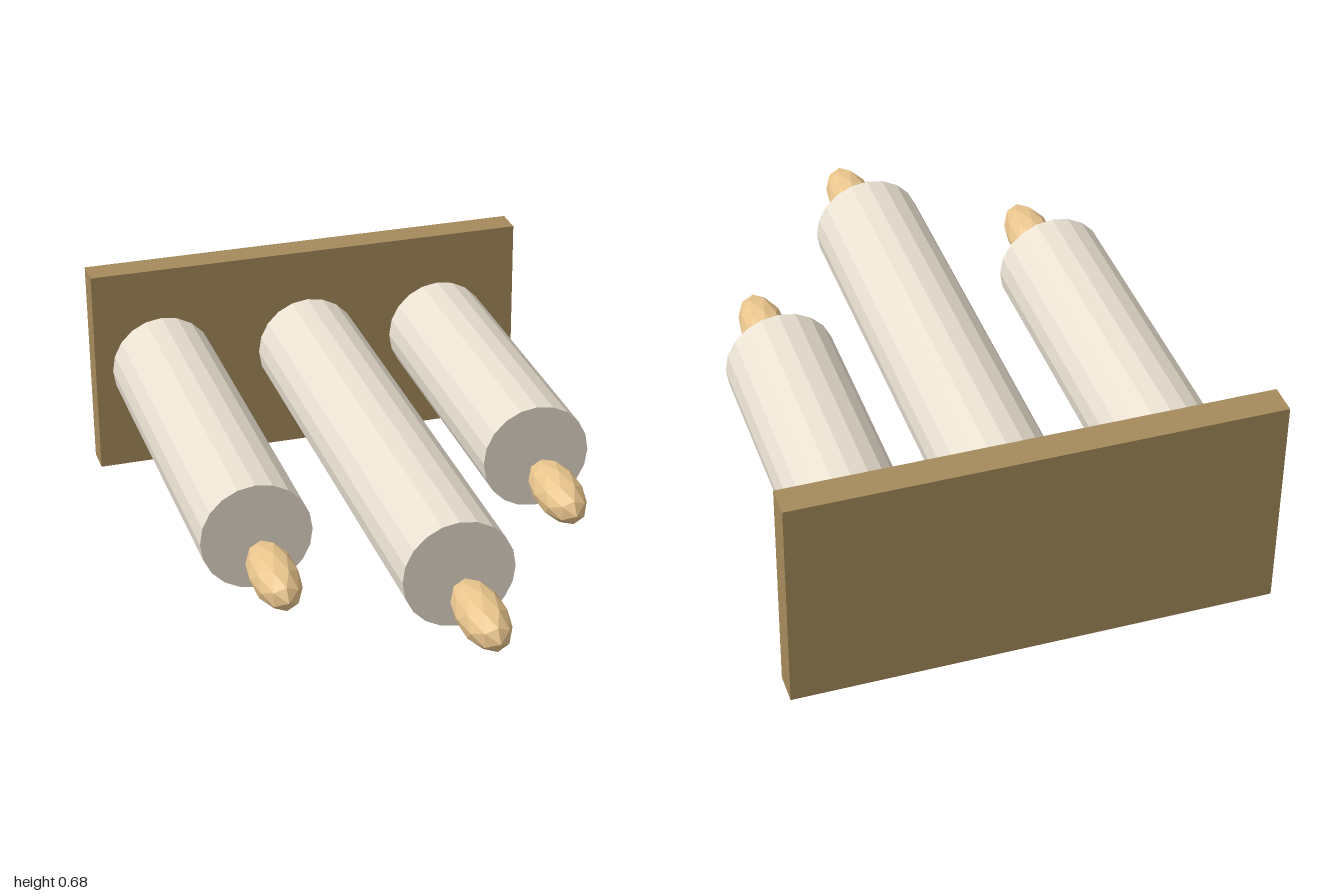
import * as THREE from 'three';

const material = (color) => new THREE.MeshStandardMaterial({ color, flatShading: true });

export function createModel() {
  const model = new THREE.Group();
  const wood = material(0xa68b5c);
  const wax = material(0xe8dfd0);
  const flameColor = material(0xe8c48c);

  const add = (name, geometry, mat, x, y, z) => {
    const mesh = new THREE.Mesh(geometry, mat);
    mesh.name = name;
    mesh.position.set(x, y, z);
    model.add(mesh);
  };

  // Upright backing board
  const boardFront = -0.908;
  add('board', new THREE.BoxGeometry(1.42, 0.675, 0.092), wood, 0, 0.3375, -0.954);

  // Three candles of different lengths, each with a floating flame: [x, z of the free end]
  const candles = [[-0.487, 0.273], [0, 0.648], [0.447, 0.05]];
  for (const [x, end] of candles) {
    const length = end - boardFront;
    const candle = new THREE.CylinderGeometry(0.167, 0.167, length, 20).rotateX(Math.PI / 2);
    add('candle', candle, wax, x, 0.34, boardFront + length / 2);

    const flame = new THREE.IcosahedronGeometry(1, 1).scale(0.071, 0.071, 0.163);
    add('flame', flame, flameColor, x, 0.317, end + 0.187);
  }
  return model;
}
